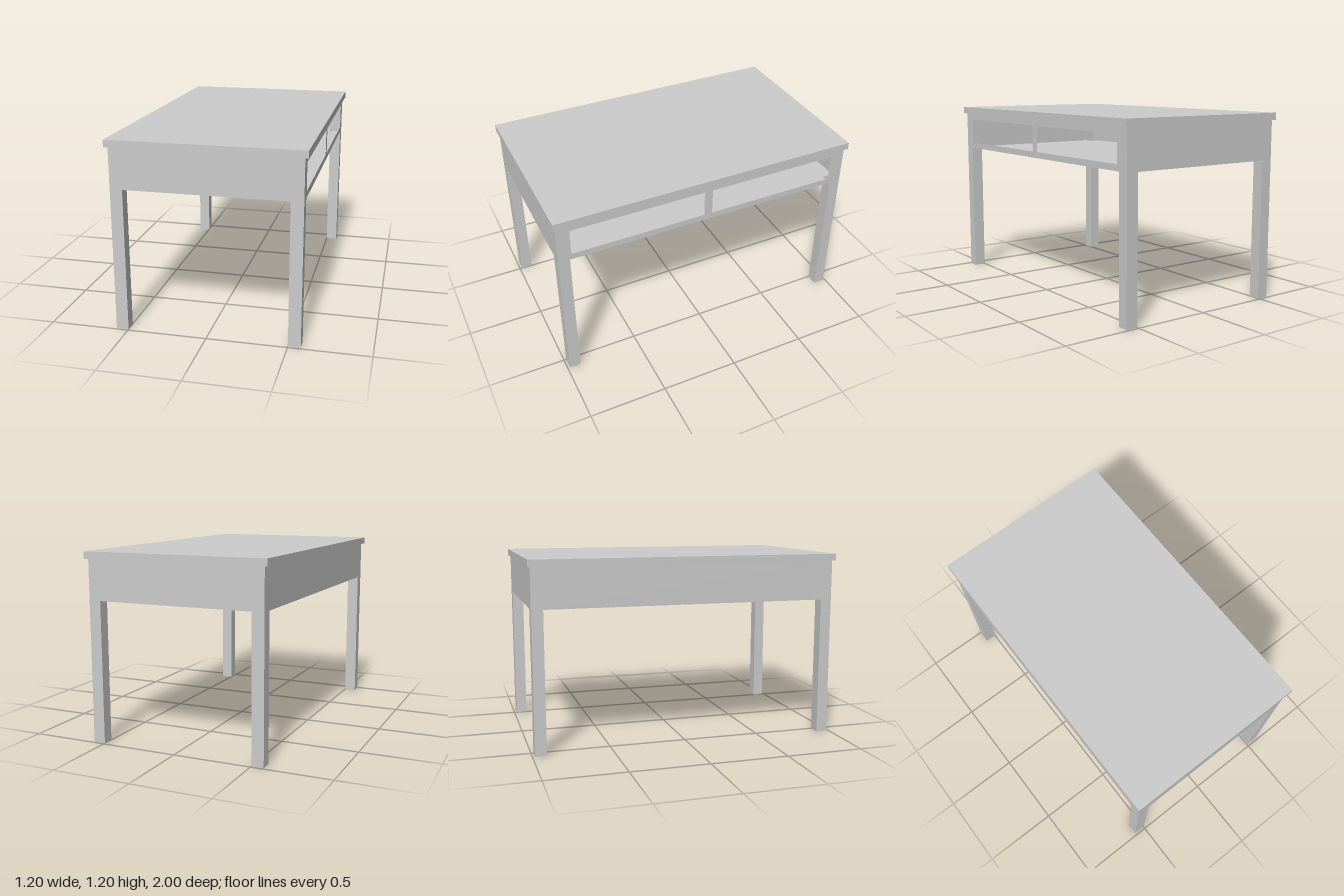
import * as THREE from 'three';

const W = 0.577, D = 0.985;        // half width and half depth of the body
const LX = 0.5, LZ = 0.912;        // inner faces of the legs
const FLOOR = 0.9, BODY_TOP = 1.155, TOP = 1.2;

const solid = new THREE.MeshStandardMaterial({ color: 0xcccccc });
const sheet = new THREE.MeshStandardMaterial({ color: 0xcccccc, side: THREE.DoubleSide });

const points = (list) => list.map(([x, y]) => new THREE.Vector2(x, y));

function panel(name, outline, holes = []) {
  const shape = new THREE.Shape(points(outline));
  for (const h of holes) shape.holes.push(new THREE.Path(points(h)));
  const mesh = new THREE.Mesh(new THREE.ShapeGeometry(shape), sheet);
  mesh.name = name;
  return mesh;
}

// Apron with the outer faces of two legs: half width w, legs from inner to w
const apron = (w, inner) => [
  [-w, 0], [-inner, 0], [-inner, FLOOR], [inner, FLOOR],
  [inner, 0], [w, 0], [w, BODY_TOP], [-w, BODY_TOP],
];

const rect = (a, b, y0, y1) => [[a, y0], [b, y0], [b, y1], [a, y1]];

export function createModel() {
  const group = new THREE.Group();

  // Table top
  const top = new THREE.Mesh(new THREE.BoxGeometry(1.196, TOP - BODY_TOP, 2), solid);
  top.name = 'tableTop';
  top.position.y = (TOP + BODY_TOP) / 2;
  group.add(top);

  // End aprons
  for (const s of [1, -1]) {
    const end = panel(s > 0 ? 'frontApron' : 'backApron', apron(W, LX));
    end.rotation.y = s > 0 ? 0 : Math.PI;
    end.position.z = s * D;
    group.add(end);
  }

  // Long aprons: the +x one has two open compartments
  const openings = [rect(-0.9, -0.03, 0.94, 1.11), rect(0.025, 0.89, 0.94, 1.11)]
    .map((r) => r.map(([z, y]) => [z, y]));
  const openSide = panel('openApron', apron(D, LZ), openings);
  openSide.rotation.y = Math.PI / 2;
  openSide.position.x = W;
  const closedSide = panel('closedApron', apron(D, LZ));
  closedSide.rotation.y = -Math.PI / 2;
  closedSide.position.x = -W;
  group.add(openSide, closedSide);

  // Compartment floor, notched at the hollow legs
  const floor = panel('compartmentFloor', [
    [-LX, -D], [LX, -D], [LX, -LZ], [W, -LZ], [W, LZ], [LX, LZ],
    [LX, D], [-LX, D], [-LX, LZ], [-W, LZ], [-W, -LZ], [-LX, -LZ],
  ]);
  floor.rotation.x = -Math.PI / 2;
  floor.position.y = FLOOR;
  group.add(floor);

  // Inner faces of the hollow legs
  for (const sx of [1, -1]) for (const sz of [1, -1]) {
    const leg = new THREE.Group();
    leg.name = (sz > 0 ? 'front' : 'back') + (sx > 0 ? 'Left' : 'Right') + 'Leg';
    const across = panel('legFaceAcross', rect(-(W - LX) / 2, (W - LX) / 2, 0, FLOOR));
    across.rotation.y = sz > 0 ? Math.PI : 0;
    across.position.set(sx * (W + LX) / 2, 0, sz * LZ);
    const along = panel('legFaceAlong', rect(-(D - LZ) / 2, (D - LZ) / 2, 0, FLOOR));
    along.rotation.y = -sx * Math.PI / 2;
    along.position.set(sx * LX, 0, sz * (D + LZ) / 2);
    leg.add(across, along);
    group.add(leg);
  }

  return group;
}
